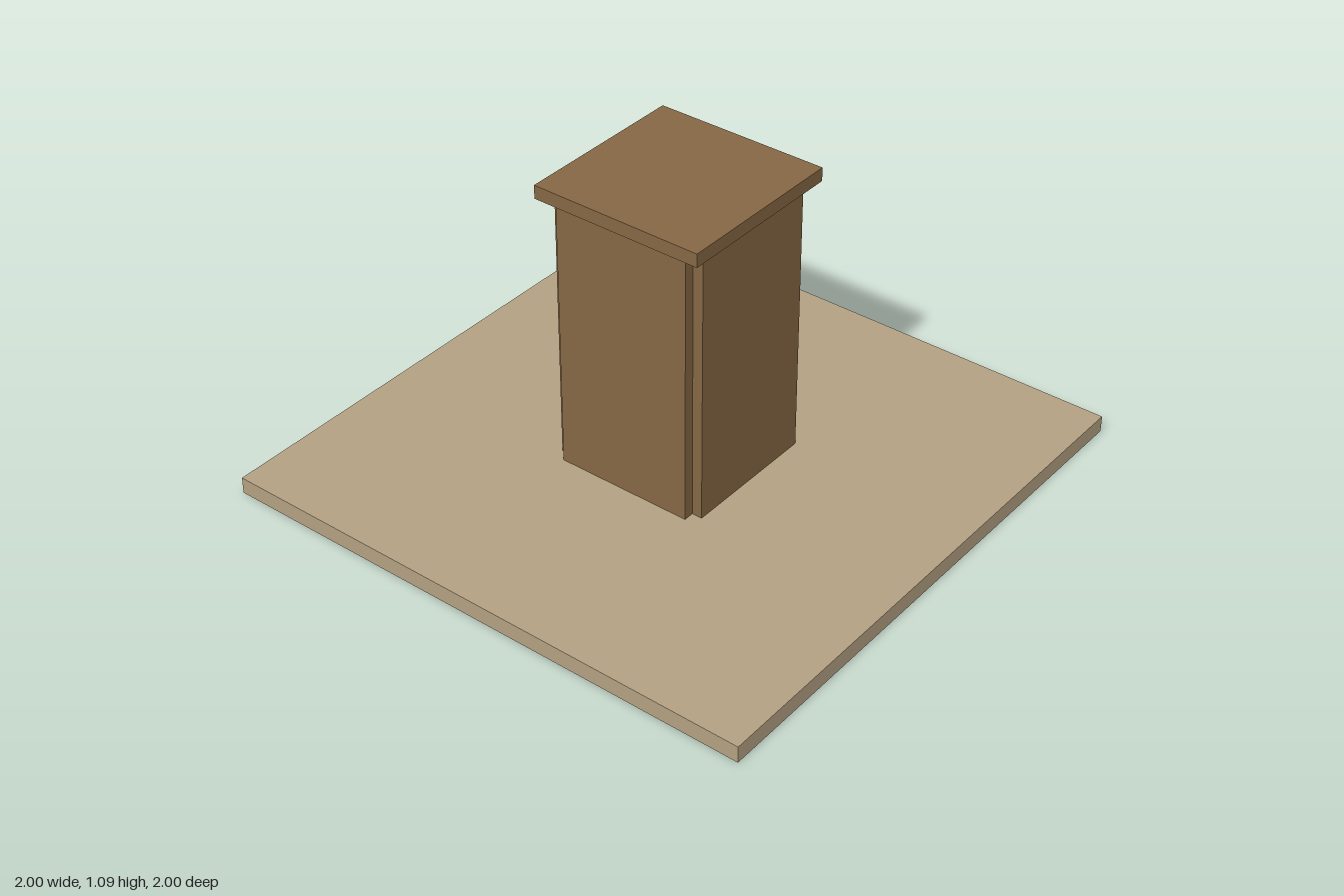
import * as THREE from 'three';

export function createModel() {
  const model = new THREE.Group();
  model.name = 'pedestal';

  const wood = new THREE.MeshStandardMaterial({ color: 0x856744 });
  wood.name = 'brown wood';
  const sand = new THREE.MeshStandardMaterial({ color: 0xb3a182 });
  sand.name = 'sandy ground';

  const baseTop = 0.06, shaftTop = 1.04, capTop = 1.088;
  const core = 0.25, outer = 0.287;

  // Box spanning y0..y1, centred on x and z
  function addBox(name, material, w, d, y0, y1) {
    const mesh = new THREE.Mesh(new THREE.BoxGeometry(w, y1 - y0, d), material);
    mesh.name = name;
    mesh.position.y = (y0 + y1) / 2;
    model.add(mesh);
    return mesh;
  }

  addBox('groundSlab', sand, 2, 2, 0, baseTop);
  addBox('cap', wood, 0.625, 0.625, shaftTop, capTop);

  // Shaft with four raised side panels, leaving notched corners
  const h = core, o = outer;
  const outline = [
    [h, -o], [h, -h], [o, -h], [o, h], [h, h], [h, o],
    [-h, o], [-h, h], [-o, h], [-o, -h], [-h, -h], [-h, -o],
  ].map(([x, y]) => new THREE.Vector2(x, y));
  const shaftGeometry = new THREE.ExtrudeGeometry(new THREE.Shape(outline), {
    depth: shaftTop - baseTop, bevelEnabled: false,
  });
  shaftGeometry.rotateX(-Math.PI / 2);
  const shaft = new THREE.Mesh(shaftGeometry, wood);
  shaft.name = 'panelledShaft';
  shaft.position.y = baseTop;
  model.add(shaft);

  return model;
}
